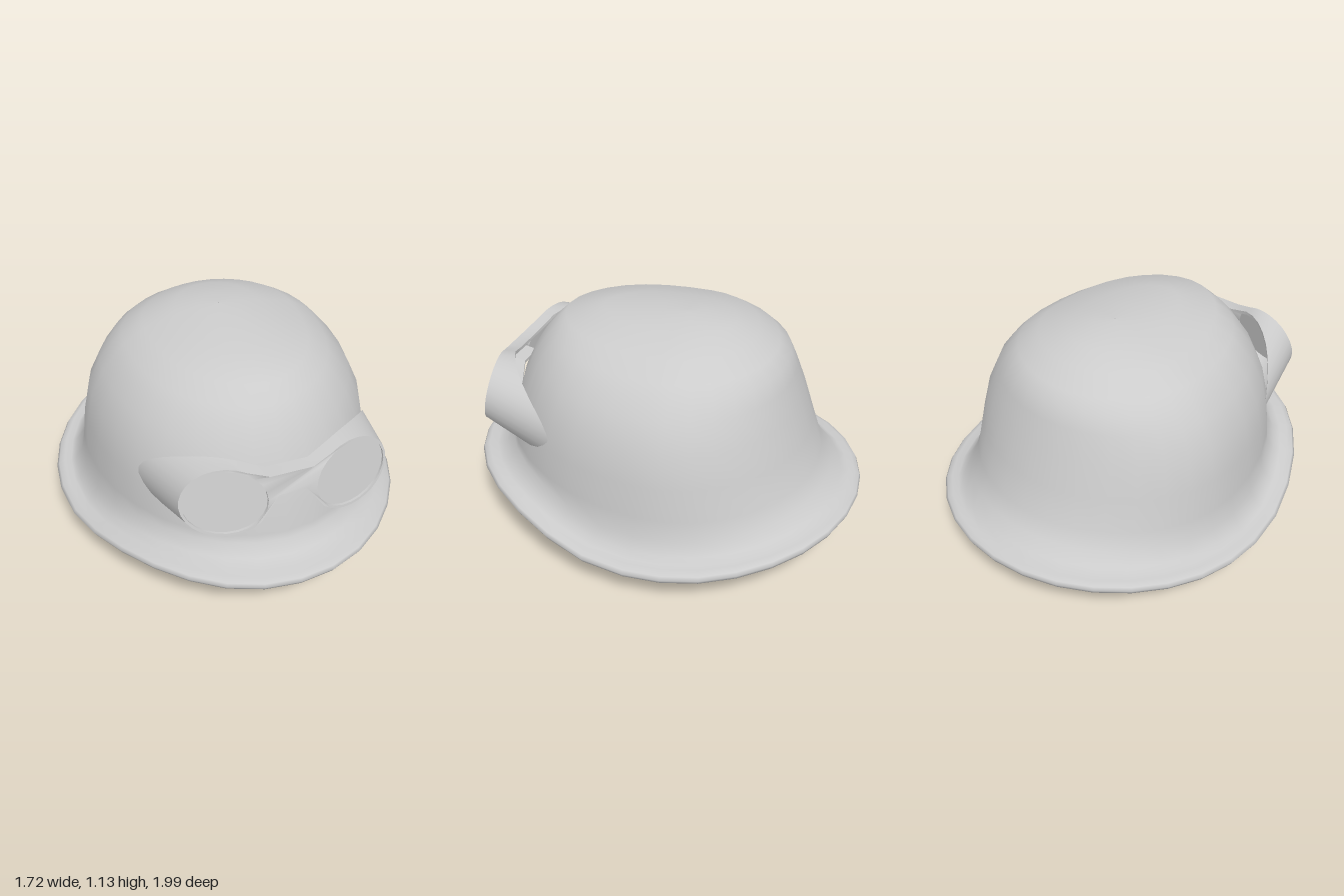
import * as THREE from 'three';
import { toCreasedNormals } from 'three/addons/utils/BufferGeometryUtils.js';

const ZC = -0.1; // depth of the widest point
const SEG = 32;

// piecewise linear lookup in [key, value] pairs with rising keys
function lookup(table, k) {
  if (k <= table[0][0]) return table[0][1];
  for (let i = 1; i < table.length; i++) {
    const a = table[i - 1], b = table[i];
    if (k <= b[0]) return a[1] + (b[1] - a[1]) * (k - a[0]) / (b[0] - a[0]);
  }
  return table[table.length - 1][1];
}

// height of the brim along z: raised in front, low at the ears
const RIM = [[-1, 0.27], [-0.8, 0.25], [-0.6, 0.23], [-0.4, 0.212], [-0.15, 0.205], [0.05, 0.207],
  [0.2, 0.222], [0.4, 0.265], [0.6, 0.292], [0.8, 0.302], [1, 0.302]];

// cross-sections: height, half width, front z, back z, how much it follows the brim, front fullness
const DOME = [
  [1.13, 0.002, -0.098, -0.102, 0, 0], [1.126, 0.1, 0.05, -0.2, 0, 0.02], [1.108, 0.21, 0.32, -0.34, 0, 0.04],
  [1.065, 0.375, 0.515, -0.445, 0, 0.04], [1.0, 0.477, 0.583, -0.545, 0, 0.04],
  [0.95, 0.527, 0.625, -0.602, 0, 0.035], [0.87, 0.593, 0.675, -0.633, 0, 0.03],
  [0.74, 0.656, 0.735, -0.68, 0, 0.02], [0.58, 0.688, 0.785, -0.735, 0, 0.01],
  [0.43, 0.705, 0.808, -0.79, 0.3, 0],
];
const BRIM = [
  [0.36, 0.722, 0.82, -0.845], [0.3, 0.757, 0.86, -0.9], [0.277, 0.785, 0.915, -0.94],
  [0.281, 0.82, 0.96, -0.97], [0.266, 0.85, 0.985, -0.992], [0.25, 0.862, 0.993, -1],
  [0.228, 0.85, 0.98, -0.99], [0.22, 0.82, 0.95, -0.965], [0.232, 0.77, 0.885, -0.915],
  [0.275, 0.72, 0.81, -0.85],
].map((ring) => [...ring, 1, -0.02]);
const LINING = DOME.map(([y, w, f, b, t, full]) => {
  const k = w > 0.05 ? 0.018 : 0;
  return [y - 0.018, w - k, f - k, b + k, t, full];
}).reverse();

// point on an egg-shaped cross-section
function ringPoint([y, w, f, b, t, full], a) {
  const s = Math.sin(a), c = Math.cos(a);
  const z = ZC + (s > 0 ? f - ZC : ZC - b) * s;
  const wide = s > 0 ? 1 + full * Math.sin(2 * a) ** 2 : 1;
  return [w * c * wide, y + t * (lookup(RIM, z) - 0.25), z];
}

// skin over rows of points
function loft(rows, closed) {
  const n = rows[0].length, idx = [];
  for (let i = 0; i + 1 < rows.length; i++) {
    for (let j = 0; j < (closed ? n : n - 1); j++) {
      const a = i * n + j, b = i * n + (j + 1) % n;
      idx.push(a, b, a + n, b, b + n, a + n);
    }
  }
  const g = new THREE.BufferGeometry();
  g.setAttribute('position', new THREE.Float32BufferAttribute(rows.flat(2), 3));
  g.setIndex(idx);
  g.computeVertexNormals();
  return g;
}

// upright curve along which the goggles sit against the dome
const seatZ = (x) => ZC + 0.87 * Math.sqrt(1 - (x / 0.685) ** 2);

// slanted plane of the lenses
const faceZ = (x, y) => Math.min(0.85, 0.805 - 0.24 * (Math.abs(x) - 0.3)) - 0.2 * (y - 0.7);

// outline of both eyepieces and the bridge, as [x, y] pairs; droop lowers the outer ends
function goggleOutline(cx, cy, rx, ry, top, bottom, droop) {
  const half = [[0.1, top]];
  for (let i = 0; i <= 20; i++) {
    const a = THREE.MathUtils.degToRad(122 - i * 14.6 + i * i * 0.08);
    const dx = rx * Math.cos(a);
    half.push([cx + dx, cy + ry * Math.sin(a) - droop * dx]);
  }
  half.push([0.065, bottom]);
  return [...half, ...half.map(([x, y]) => [-x, y]).reverse()];
}

export function createModel() {
  const group = new THREE.Group();
  const grey = new THREE.MeshStandardMaterial({ color: 0xcccccc });
  const thin = new THREE.MeshStandardMaterial({ color: 0xcccccc, side: THREE.DoubleSide });
  const add = (name, geometry, material, parent = group) => {
    const mesh = new THREE.Mesh(geometry, material);
    mesh.name = name;
    parent.add(mesh);
  };

  // helmet: outer dome, rolled brim and inside in one skin
  const rows = [...DOME, ...BRIM, ...LINING].map((ring) =>
    Array.from({ length: SEG }, (_, j) => ringPoint(ring, Math.PI / 2 + j / SEG * Math.PI * 2)));
  add('helmetShell', loft(rows, true), grey);

  // inner band round the back with pointed strap tabs: [angle, lower edge, half width]
  const edge = [[22, 0.28, 0.625], [12.2, 0.002, 0.625], [11.5, 0.2, 0.625], [0, 0.235, 0.64],
    [-12, 0.25, 0.65], [-22, 0.26, 0.655], [-25.5, 0.2, 0.65], [-29, 0.035, 0.655], [-41, 0.13, 0.715],
    [-48, 0.183, 0.74], [-60, 0.195, 0.735], [-75, 0.2, 0.67]];
  const full = [...edge, [-90, 0.2, 0.65], ...edge.map(([a, y, w]) => [-180 - a, y, w]).reverse()];
  const bandPoint = (deg, y, w, b) => {
    const [x, , z] = ringPoint([0, w, 0.75, b, 0, 0], THREE.MathUtils.degToRad(deg));
    return [x, y, z];
  };
  add('strapBand', toCreasedNormals(loft([
    full.map(([deg]) => bandPoint(deg, 0.32, 0.69, -0.82)),
    full.map(([deg, y, w]) => bandPoint(deg, y, w, ZC - 1.13 * w)),
  ], false), 0.7), thin);

  // goggles: side walls reaching back to a thin rim just off the dome
  const goggles = new THREE.Group();
  goggles.name = 'goggles';
  group.add(goggles);
  const front = goggleOutline(0.297, 0.703, 0.195, 0.162, 0.813, 0.715, 0);
  const back = goggleOutline(0.335, 0.675, 0.232, 0.185, 0.815, 0.7, 0.2);
  const inner = goggleOutline(0.335, 0.675, 0.217, 0.17, 0.8, 0.715, 0.2);
  const innerFront = goggleOutline(0.297, 0.703, 0.184, 0.151, 0.8, 0.727, 0);
  add('goggleBody', toCreasedNormals(loft([
    front.map(([x, y]) => [x, y, faceZ(x, y)]),
    back.map(([x, y]) => [x, y, seatZ(x)]),
    inner.map(([x, y]) => [x, y, seatZ(x)]),
    innerFront.map(([x, y]) => [x, y, faceZ(x, y) - 0.012]),
  ], true), 0.7), thin, goggles);

  // front frame with two lens openings
  const frame = new THREE.Shape(front.map(([x, y]) => new THREE.Vector2(x, y)));
  const onFace = (g, depth) => {
    const p = g.attributes.position;
    for (let i = 0; i < p.count; i++) p.setZ(i, faceZ(p.getX(i), p.getY(i)) - depth);
    g.computeVertexNormals();
    return g;
  };
  for (const s of [1, -1]) {
    const hole = new THREE.Path().absellipse(s * 0.297, 0.703, 0.183, 0.15, 0, Math.PI * 2, true);
    frame.holes.push(hole);

    // recessed lens and the inner wall around it
    const lens = new THREE.CircleGeometry(1, 24).scale(0.184, 0.151, 1).translate(s * 0.297, 0.703, 0);
    add(s > 0 ? 'leftLens' : 'rightLens', onFace(lens, 0.012), thin, goggles);
    const rim = hole.getPoints(12).slice(0, -1);
    const wall = [0, 0.014].map((d) => rim.map(({ x, y }) => [x, y, faceZ(x, y) - d]));
    add(s > 0 ? 'leftLensRim' : 'rightLensRim', loft(wall, true), thin, goggles);
  }
  add('goggleFrame', onFace(new THREE.ShapeGeometry(frame, 12), 0), thin, goggles);

  return group;
}
